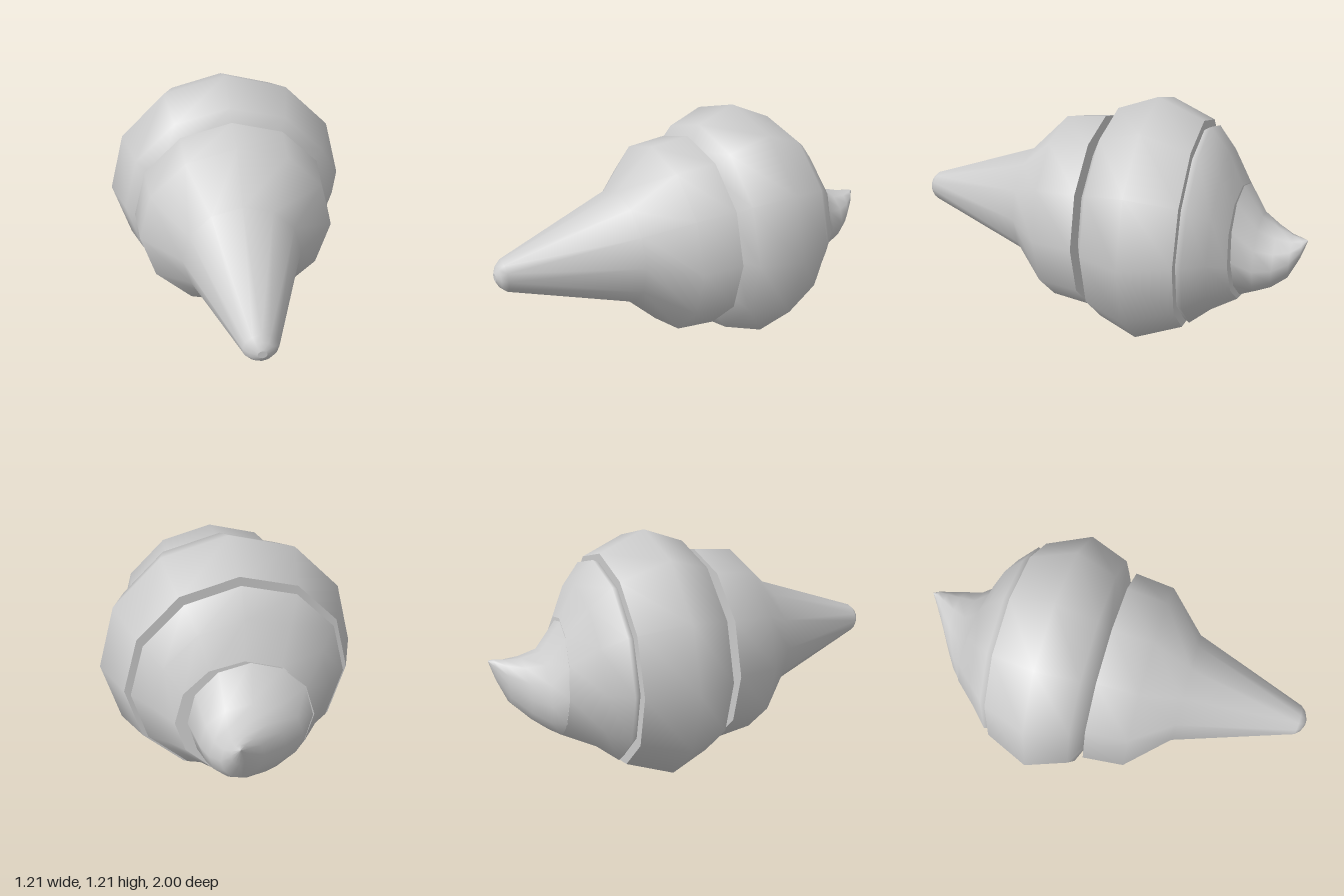
import * as THREE from 'three';

const SIDES = 12;
const AXIS_Y = 0.605;

// Skin a list of rings running from front (+z) to back (-z).
// Ring: cx, cy, z, rx, ry, and tilts tx, ty (change of z per unit of x, y).
function loft(name, rings, capFront, capBack) {
  const pos = [], idx = [];
  const addRing = ({ cx = 0, cy = AXIS_Y, z, rx, ry = rx, tx = 0, ty = 0 }) => {
    const start = pos.length / 3;
    for (let j = 0; j < SIDES; j++) {
      const a = (j / SIDES) * Math.PI * 2;
      const dx = Math.cos(a) * rx, dy = Math.sin(a) * ry;
      pos.push(cx + dx, cy + dy, z + tx * dx + ty * dy);
    }
    return start;
  };
  const starts = rings.map(addRing);
  for (let i = 0; i < rings.length - 1; i++) {
    for (let j = 0; j < SIDES; j++) {
      const k = (j + 1) % SIDES;
      const a = starts[i] + j, b = starts[i] + k;
      const c = starts[i + 1] + j, d = starts[i + 1] + k;
      idx.push(a, c, b, b, c, d);
    }
  }
  // Caps have their own vertices so that the rim stays sharp
  const cap = (ring, front) => {
    const s = addRing(ring), centre = pos.length / 3;
    pos.push(ring.cx ?? 0, ring.cy ?? AXIS_Y, ring.z);
    for (let j = 0; j < SIDES; j++) {
      const k = (j + 1) % SIDES;
      idx.push(centre, s + (front ? j : k), s + (front ? k : j));
    }
  };
  if (capFront) cap(rings[0], true);
  if (capBack) cap(rings[rings.length - 1], false);

  const geo = new THREE.BufferGeometry();
  geo.setAttribute('position', new THREE.Float32BufferAttribute(pos, 3));
  geo.setIndex(idx);
  geo.computeVertexNormals();
  const mesh = new THREE.Mesh(geo, new THREE.MeshStandardMaterial({ color: 0xcccccc }));
  mesh.name = name;
  return mesh;
}

export function createModel() {
  const group = new THREE.Group();
  group.name = 'iceCreamCone';

  // Cone lying along z, rounded point to the front
  group.add(loft('cone', [
    { z: 1.0, rx: 0.02 },
    { z: 0.985, rx: 0.052 },
    { z: 0.96, rx: 0.075 },
    { z: 0.39, rx: 0.278 },
    { z: 0.2, rx: 0.466 },
    { z: 0.003, rx: 0.487 },
  ], true, true));

  // Wide lower scoop
  group.add(loft('lowerScoop', [
    { z: -0.005, rx: 0.41 },
    { z: -0.06, rx: 0.533 },
    { z: -0.255, rx: 0.605 },
    { z: -0.475, rx: 0.513 },
  ], true, true));

  // Upper scoop, narrowing and leaning a little
  group.add(loft('upperScoop', [
    { z: -0.478, rx: 0.47 },
    { z: -0.507, rx: 0.487 },
    { cx: 0.005, cy: 0.593, z: -0.6, rx: 0.4, ry: 0.39 },
    { cx: 0.02, cy: 0.556, z: -0.705, rx: 0.3, ry: 0.276, tx: 0.09, ty: 0.1 },
  ], true, true));

  // Swirled tip curling to one side
  group.add(loft('swirlTip', [
    { cx: -0.005, cy: 0.555, z: -0.705, rx: 0.272, ry: 0.272, tx: 0.09, ty: 0.1 },
    { cx: 0.01, cy: 0.505, z: -0.785, rx: 0.225, ry: 0.183, tx: 0.04, ty: 0.04 },
    { cx: 0.045, cy: 0.512, z: -0.86, rx: 0.165, ry: 0.146 },
    { cx: 0.083, cy: 0.542, z: -0.93, rx: 0.09, ry: 0.106 },
    { cx: 0.105, cy: 0.6, z: -0.975, rx: 0.037, ry: 0.05 },
    { cx: 0.11, cy: 0.643, z: -1.0, rx: 0.002 },
  ], false, true));

  return group;
}
